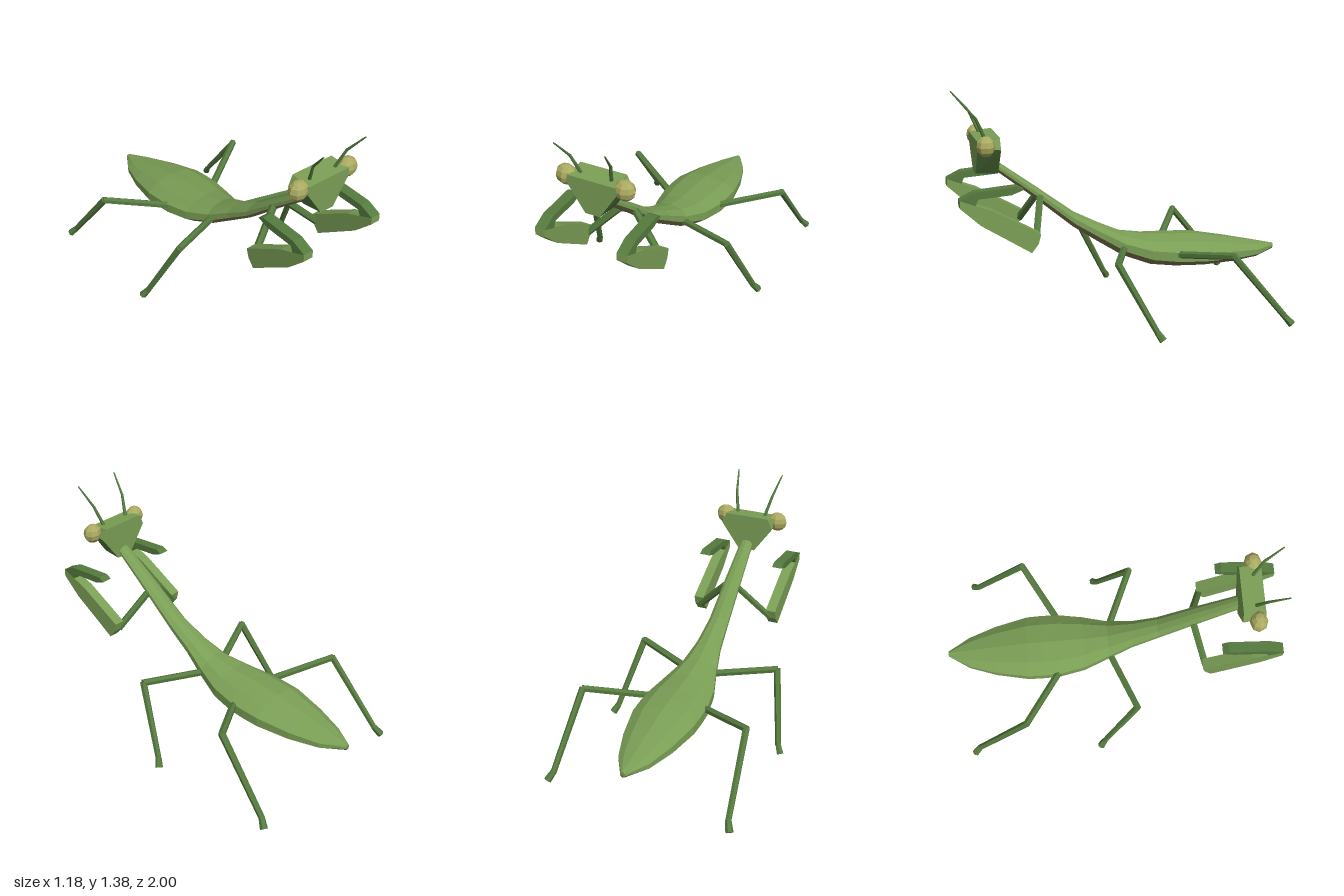
import * as THREE from 'three';

const paint = (color) => new THREE.MeshStandardMaterial({ color, flatShading: true });
const V = (x, y, z) => new THREE.Vector3(x, y, z);

// Skin sides from..to of a stack of rings (counterclockwise from the front, stacked front to back)
function loft(rings, from, to) {
  const pos = [];
  const n = rings[0].length;
  for (let i = 0; i < rings.length - 1; i++) {
    for (let k = from; k < to; k++) {
      const j = k % n, m = (k + 1) % n;
      const a = rings[i][j], b = rings[i][m], c = rings[i + 1][m], d = rings[i + 1][j];
      for (const p of [a, d, c, a, c, b]) pos.push(p.x, p.y, p.z);
    }
  }
  const g = new THREE.BufferGeometry();
  g.setAttribute('position', new THREE.Float32BufferAttribute(pos, 3));
  g.computeVertexNormals();
  return g;
}

// Ring collapsed to its centre, used to close an end
function centre(ring) {
  const c = V(0, 0, 0);
  ring.forEach((p) => c.addScaledVector(p, 1 / ring.length));
  return ring.map(() => c);
}

// Flat plate with an outline given as z and y, between x0 and x1
function plate(outline, x0, x1) {
  const shape = new THREE.Shape(outline.map(([z, y]) => new THREE.Vector2(z, y)));
  const g = new THREE.ExtrudeGeometry(shape, { depth: x1 - x0, bevelEnabled: false });
  return g.rotateY(-Math.PI / 2).translate(x1, 0, 0);
}

export function createModel() {
  const root = new THREE.Group();
  const green = paint(0x7a9e55), dark = paint(0x557a3e), brown = paint(0x7d7650), eyeColor = paint(0xacab62);

  const add = (name, geometry, material, parent = root) => {
    const mesh = new THREE.Mesh(geometry, material);
    mesh.name = name;
    parent.add(mesh);
    return mesh;
  };

  // Chain of six-sided rods through points, with a radius at each point
  function limb(name, points, radii) {
    const group = new THREE.Group();
    group.name = name;
    for (let i = 0; i < points.length - 1; i++) {
      const dir = points[i + 1].clone().sub(points[i]);
      const rod = add(name + 'Segment', new THREE.CylinderGeometry(radii[i + 1], radii[i], dir.length() + radii[i] * 0.5, 6), dark, group);
      rod.position.copy(points[i]).addScaledVector(dir, 0.5);
      rod.quaternion.setFromUnitVectors(V(0, 1, 0), dir.normalize());
    }
    root.add(group);
  }

  // Neck and abdomen: z, top, bottom, half width
  const sections = [
    [0.78, 1.02, 0.96, 0.038], [0.52, 0.825, 0.75, 0.052], [0.3, 0.655, 0.56, 0.062],
    [0.15, 0.575, 0.455, 0.078], [0, 0.505, 0.355, 0.115], [-0.15, 0.473, 0.296, 0.165],
    [-0.3, 0.46, 0.275, 0.193], [-0.4, 0.452, 0.268, 0.197], [-0.5, 0.442, 0.262, 0.195],
    [-0.7, 0.4, 0.26, 0.153], [-0.87, 0.362, 0.268, 0.095], [-1, 0.335, 0.298, 0.015],
  ];
  const rings = sections.map(([z, top, bottom, w]) => Array.from({ length: 10 }, (_, j) => {
    const a = (18 + 36 * j) * Math.PI / 180;
    return V(Math.cos(a) * w / Math.cos(Math.PI / 10), (top + bottom) / 2 + Math.sin(a) * (top - bottom) / 2, z);
  }));
  rings.unshift(centre(rings[0]));
  rings.push(centre(rings[rings.length - 1]));
  add('back', loft(rings, 9, 15), green);
  add('belly', loft(rings, 5, 9), brown);

  // Head: tapered hexagonal wedge
  const headRing = (z, topW, topY, sideW, sideY, lowW, lowY) => [
    V(sideW, sideY, z), V(topW, topY, z), V(-topW, topY, z),
    V(-sideW, sideY, z), V(-lowW, lowY, z), V(lowW, lowY, z),
  ];
  const face = headRing(0.872, 0.145, 1.142, 0.152, 1.1, 0.044, 0.937);
  const nape = headRing(0.745, 0.14, 1.155, 0.17, 1.09, 0.054, 0.93);
  add('face', loft([centre(face), face], 0, 6), green);
  add('headCrown', loft([face, nape], 0, 3), green);
  add('headCheeks', loft([face, nape], 3, 6), dark);
  add('headRear', loft([nape, centre(nape)], 0, 6), green);

  // Grasping arm outlines, as z and y
  const forearm = [
    [1, 0.85], [1, 0.805], [0.89, 0.7], [0.61, 0.515], [0.57, 0.565], [0.555, 0.62], [0.825, 0.78], [0.915, 0.815],
  ];
  const claw = [
    [1, 0.85], [0.915, 0.815], [0.9, 0.85], [0.715, 0.86], [0.645, 0.885], [0.68, 0.905], [0.915, 0.89],
  ];

  for (const s of [1, -1]) {
    const side = s > 0 ? 'left' : 'right';

    const eye = add(side + 'Eye', new THREE.SphereGeometry(0.061, 8, 6), eyeColor);
    eye.scale.set(1, 0.96, 0.84);
    eye.position.set(s * 0.176, 1.117, 0.83);

    limb(side + 'Antenna', [V(s * 0.088, 1.13, 0.815), V(s * 0.12, 1.262, 0.87), V(s * 0.148, 1.375, 0.965)], [0.011, 0.008, 0.004]);

    // Front arm: rod from the neck, then the flat forearm and the claw folded back over it
    limb(side + 'UpperArm', [V(s * 0.045, 0.768, 0.505), V(s * 0.235, 0.573, 0.575)], [0.022, 0.022]);
    const [x0, x1] = s > 0 ? [0.217, 0.28] : [-0.28, -0.217];
    add(side + 'Forearm', plate(forearm, x0, x1), green);
    add(side + 'Claw', plate(claw, x0, x1), dark);

    // Walking legs: hip, knee, ankle, toe
    const r = [0.022, 0.021, 0.018, 0.023];
    limb(side + 'MiddleLeg', [V(s * 0.08, 0.42, 0.005), V(s * 0.448, 0.457, 0.157), V(s * 0.545, 0.06, -0.045), V(s * 0.567, 0.02, -0.07)], r);
    limb(side + 'RearLeg', [V(s * 0.16, 0.375, -0.3), V(s * 0.515, 0.457, -0.515), V(s * 0.548, 0.065, -0.835), V(s * 0.57, 0.022, -0.87)], r);
  }
  return root;
}
